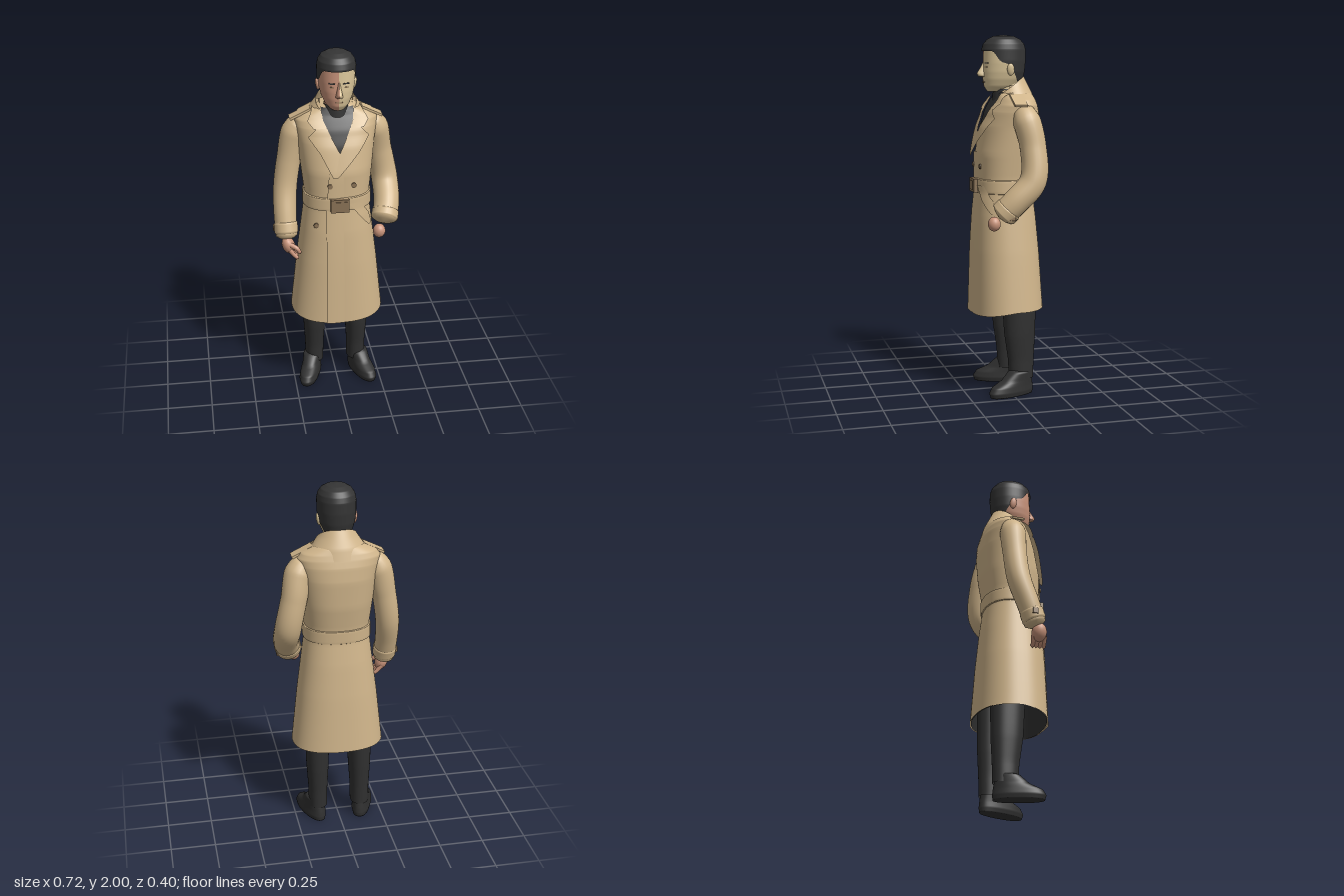
import * as THREE from 'three';
import { mergeVertices } from 'three/addons/utils/BufferGeometryUtils.js';

const mat = (name, color) => new THREE.MeshStandardMaterial({ name, color, side: THREE.DoubleSide });
const coatMat = mat('tan cloth', 0xd0b58b);
const skinLight = mat('light skin', 0xd9c498);
const skinPink = mat('pink skin', 0xc8937a);
const dark = mat('charcoal cloth', 0x303030);
const hairMat = mat('black hair', 0x343434);
const brown = mat('brown buckle', 0x8a7256);

const TAU = Math.PI * 2;
const { lerp, clamp } = THREE.MathUtils;

function grid(nu, nv, point, wrap = false) {
  const pos = [], idx = [], w = wrap ? nu : nu + 1;
  for (let j = 0; j <= nv; j++) for (let i = 0; i < w; i++) pos.push(...point(i / nu, j / nv));
  for (let j = 0; j < nv; j++) for (let i = 0; i < nu; i++) {
    const a = j * w + i, b = j * w + (i + 1) % w;
    idx.push(a, b, b + w, a, b + w, a + w);
  }
  const g = new THREE.BufferGeometry();
  g.setAttribute('position', new THREE.Float32BufferAttribute(pos, 3));
  g.setIndex(idx);
  g.computeVertexNormals();
  return g;
}

// Horizontal sections [y, halfWidth, frontZ, backZ]; edge(y, angle) trims the rim
function loft(table, { n = 2, from = 0, to = TAU, edge = y => y, k = 5, seg = 48 } = {}) {
  const full = to - from > TAU - 0.001, spans = table.length - 1;
  const at = y => {
    let i = 0;
    while (i < spans - 1 && y > table[i + 1][0]) i++;
    const [p, q] = [table[i], table[i + 1]];
    const t = q[0] === p[0] ? 0 : clamp((y - p[0]) / (q[0] - p[0]), 0, 1);
    return p.map((v, c) => lerp(v, q[c], t));
  };
  return grid(seg, spans * k, (u, v) => {
    const a = lerp(from, to, u), s = Math.sin(a), c = Math.cos(a);
    const r = Math.min(v * spans, spans - 1e-9), i = Math.floor(r);
    let row = table[i].map((q, m) => lerp(q, table[i + 1][m], r - i));
    const y = edge(row[0], a);
    if (y !== row[0]) row = at(y);
    const [, rx, f, b] = row, pw = w => Math.sign(w) * Math.abs(w) ** (2 / n);
    return [rx * pw(s), y, (f + b) / 2 + (f - b) / 2 * pw(c)];
  }, full);
}

// Tube along points, with [t, radius] pairs
function sweep(points, radii, seg = 24, steps = 50) {
  const curve = new THREE.CatmullRomCurve3(points.map(p => new THREE.Vector3(...p)));
  const g = new THREE.TubeGeometry(curve, steps, 1, seg);
  const p = g.attributes.position, v = new THREE.Vector3();
  for (let i = 0; i < p.count; i++) {
    const t = Math.floor(i / (seg + 1)) / steps;
    let k = 0;
    while (k < radii.length - 2 && t > radii[k + 1][0]) k++;
    const [a, b] = [radii[k], radii[k + 1]];
    const r = lerp(a[1], b[1], clamp((t - a[0]) / (b[0] - a[0]), 0, 1));
    const c = curve.getPointAt(t);
    v.fromBufferAttribute(p, i).sub(c).multiplyScalar(r).add(c);
    p.setXYZ(i, v.x, v.y, v.z);
  }
  g.deleteAttribute('uv');
  g.deleteAttribute('normal');
  const m = mergeVertices(g, 1e-5);
  m.computeVertexNormals();
  return m;
}

const COAT = [
  [0.45, 0.264, 0.2, -0.2], [0.8, 0.226, 0.19, -0.178], [1.0, 0.2, 0.18, -0.16],
  [1.14, 0.182, 0.166, -0.142], [1.22, 0.181, 0.165, -0.145], [1.35, 0.196, 0.166, -0.168],
  [1.5, 0.212, 0.135, -0.178], [1.58, 0.225, 0.105, -0.171], [1.62, 0.228, 0.08, -0.16],
  [1.65, 0.205, 0.06, -0.15], [1.68, 0.14, 0.05, -0.14], [1.7, 0.09, 0.04, -0.12], [1.7, 0, -0.04, -0.04]];
const COAT_N = 2.35;

// Depth of the coat's front surface
function frontZ(x, y) {
  let i = 0;
  while (i < COAT.length - 3 && y > COAT[i + 1][0]) i++;
  const [p, q] = [COAT[i], COAT[i + 1]], t = clamp((y - p[0]) / (q[0] - p[0]), 0, 1);
  const [, rx, f, b] = p.map((v, c) => lerp(v, q[c], t));
  const w = Math.max(0, 1 - Math.min(1, Math.abs(x) / rx) ** COAT_N) ** (1 / COAT_N);
  return (f + b) / 2 + (f - b) / 2 * w;
}

// Cloth lying on the coat front: rows [y, x0, x1, lift at x0, lift at x1], bottom to top
function patch(rows) {
  const n = rows.length - 1;
  return grid(10, n * 6, (u, v) => {
    const r = Math.min(v * n, n - 1e-9), i = Math.floor(r);
    const [y, x0, x1, l0, l1] = rows[i].map((q, c) => lerp(q, rows[i + 1][c], r - i));
    const x = lerp(x0, x1, u);
    return [x, y, frontZ(x, y) + lerp(l0, l1, u)];
  });
}

export function createModel() {
  const model = new THREE.Group();
  const add = (name, geo, material, pos = [0, 0, 0], rot = [0, 0, 0], scale = [1, 1, 1]) => {
    const m = new THREE.Mesh(geo, material);
    m.name = name;
    m.position.set(...pos); m.rotation.set(...rot); m.scale.set(...scale);
    model.add(m);
    return m;
  };
  const ball = new THREE.SphereGeometry(1, 20, 14);
  const hem = (y, a) => Math.max(y, 0.49 - 0.035 * Math.max(0, Math.cos(a)));

  // Coat body, lining and belt
  add('coatBody', loft(COAT, { n: COAT_N, edge: hem, seg: 64, k: 6 }), coatMat);
  add('coatLining', loft([[0.45, 0.258, 0.194, -0.194], [0.8, 0.22, 0.184, -0.172], [0.8, 0, 0, 0]],
    { n: COAT_N, edge: hem }), dark);
  add('belt', loft([[1.135, 0.18, 0.163, -0.14], [1.14, 0.189, 0.174, -0.149],
    [1.21, 0.188, 0.174, -0.152], [1.215, 0.18, 0.163, -0.142]], { n: COAT_N }), coatMat);
  add('buckle', new THREE.BoxGeometry(0.1, 0.075, 0.022), brown, [-0.003, 1.175, 0.183]);
  add('buckleFrame', new THREE.BoxGeometry(0.076, 0.05, 0.006), brown, [-0.003, 1.175, 0.195]);
  add('beltTail', patch([[1.03, 0.165, 0.185, 0.012, 0.012], [1.1, 0.11, 0.165, 0.016, 0.014],
    [1.18, 0.05, 0.115, 0.014, 0.014]]), coatMat);
  add('frontFlap', patch([[0.455, -0.08, 0.02, 0.008, 0.001], [1.14, -0.075, 0.02, 0.008, 0.001],
    [1.36, -0.06, 0.02, 0.008, 0.001]]), coatMat);

  // Sweater showing in the neck opening
  add('sweaterFront', patch([[1.46, -0.002, 0.002, 0.006, 0.006], [1.56, -0.05, 0.05, 0.006, 0.006],
    [1.64, -0.085, 0.085, 0.008, 0.008], [1.69, -0.09, 0.09, 0.004, 0.004]]), dark);
  add('sweaterNeck', loft([[1.58, 0.1, 0.08, -0.08], [1.64, 0.085, 0.075, -0.08], [1.705, 0.066, 0.068, -0.075]]), dark);
  add('collar', loft([[1.62, 0.175, 0.09, -0.163], [1.68, 0.14, 0.075, -0.146], [1.73, 0.106, 0.065, -0.122],
    [1.775, 0.083, 0.055, -0.1]], { from: 0.75, to: TAU - 0.75,
    edge: (y, a) => Math.min(y, 1.775 - 0.11 * ((1 + Math.cos(a)) / 2) ** 1.5) }), coatMat);

  // Lapels, epaulettes, legs and shoes
  for (const s of [-1, 1]) {
    const side = s > 0 ? 'left' : 'right';
    const row = (y, i, o, li, lo) => s > 0 ? [y, i, o, li, lo] : [y, -o, -i, lo, li];
    add(side + 'Lapel', patch([row(1.34, -0.03 * s, -0.028 * s + 0.012, 0.03, 0.03), row(1.47, 0, 0.105, 0.02, 0.028),
      row(1.55, 0.042, 0.165, 0.014, 0.026), row(1.6, 0.065, 0.115, 0.014, 0.022)]), coatMat);
    add(side + 'CollarFlap', patch([row(1.595, 0.062, 0.135, 0.016, 0.03), row(1.63, 0.08, 0.165, 0.014, 0.03),
      row(1.69, 0.088, 0.13, 0.016, 0.03), row(1.725, 0.088, 0.108, 0.02, 0.02)]), coatMat);
    add(side + 'Epaulette', new THREE.BoxGeometry(0.125, 0.012, 0.07), coatMat, [0.195 * s, 1.648, -0.02], [0, 0, -0.45 * s]);
    add(side + 'Leg', loft([[0.09, 0.052, 0.012, -0.125], [0.2, 0.054, 0.018, -0.128],
      [0.35, 0.063, 0.04, -0.136], [0.62, 0.07, 0.055, -0.14]], { n: 2.2 }), dark, [0.123 * s, 0, 0]);
    add(side + 'Shoe', loft([[0, 0, 0, 0], [0, 0.05, 0.155, -0.115], [0.025, 0.056, 0.163, -0.118],
      [0.055, 0.053, 0.145, -0.115], [0.085, 0.05, 0.08, -0.11], [0.13, 0.05, 0.03, -0.1], [0.15, 0, 0, -0.08]],
      { n: 2.3 }), dark, [0.147 * s, 0, -0.012], [0, 0.33 * s, 0]);
  }

  // Buttons
  for (const [x, y] of [[-0.055, 1.285], [0.075, 1.285], [-0.13, 1.05]])
    add('button', new THREE.CylinderGeometry(0.014, 0.014, 0.008, 16), brown, [x, y, frontZ(x, y) + 0.009], [Math.PI / 2, 0, 0]);

  // Right arm hanging, left arm bent to the pocket
  add('rightSleeve', sweep([[-0.165, 1.605, -0.04], [-0.215, 1.55, -0.045], [-0.252, 1.4, -0.045], [-0.28, 1.22, -0.03],
    [-0.288, 1.07, 0.02], [-0.283, 0.93, 0.07]],
    [[0, 0], [0.05, 0.06], [0.13, 0.074], [0.35, 0.067], [0.6, 0.066], [0.8, 0.063], [0.97, 0.06], [1, 0]]), coatMat);
  add('leftSleeve', sweep([[0.165, 1.605, -0.04], [0.215, 1.55, -0.055], [0.25, 1.4, -0.085], [0.285, 1.22, -0.075],
    [0.282, 1.11, 0.02], [0.25, 1.02, 0.105]],
    [[0, 0], [0.05, 0.06], [0.13, 0.076], [0.35, 0.072], [0.6, 0.074], [0.8, 0.072], [0.97, 0.07], [1, 0]]), coatMat);
  add('rightCuff', sweep([[-0.287, 1.03, 0.035], [-0.286, 1.0, 0.046], [-0.285, 0.97, 0.057]],
    [[0, 0.06], [0.1, 0.066], [0.9, 0.066], [1, 0.06]], 24, 10), coatMat);
  add('rightCuffTab', new THREE.BoxGeometry(0.016, 0.03, 0.03), brown, [-0.35, 1.0, 0.04]);
  add('leftCuff', sweep([[0.272, 1.075, 0.053], [0.266, 1.055, 0.07], [0.26, 1.038, 0.085]],
    [[0, 0.069], [0.1, 0.075], [0.9, 0.075], [1, 0.069]], 24, 10), coatMat);
  add('leftCuffTab', new THREE.BoxGeometry(0.016, 0.03, 0.03), brown, [0.325, 1.03, 0.05]);
  add('leftWrist', ball, skinPink, [0.225, 0.985, 0.125], [0, 0, 0], [0.035, 0.04, 0.035]);

  // Right hand
  add('rightPalm', ball, skinPink, [-0.278, 0.91, 0.085], [0, 0, 0.35], [0.036, 0.052, 0.042]);
  for (let i = 0; i < 4; i++) {
    const z = 0.055 + i * 0.021;
    add('rightFinger', sweep([[-0.275, 0.895, z], [-0.25, 0.862, z + 0.004], [-0.225, 0.838, z + 0.008]],
      [[0, 0.014], [0.85, 0.011], [1, 0]], 10, 14), skinPink);
  }
  add('rightThumb', sweep([[-0.27, 0.92, 0.11], [-0.235, 0.905, 0.13], [-0.215, 0.87, 0.13]],
    [[0, 0.016], [0.85, 0.011], [1, 0]], 10, 14), skinPink);

  // Face and nose, one half in each skin tone
  const head = [[1.69, 0, 0.06, 0.06], [1.692, 0.038, 0.105, -0.02], [1.72, 0.066, 0.122, -0.06],
    [1.76, 0.084, 0.128, -0.085], [1.8, 0.094, 0.129, -0.1], [1.85, 0.099, 0.126, -0.105], [1.93, 0.097, 0.122, -0.1]];
  const nose = [[1.768, 0, 0.12, 0.12], [1.774, 0.02, 0.156, 0.09], [1.79, 0.017, 0.164, 0.09],
    [1.82, 0.011, 0.145, 0.09], [1.852, 0.007, 0.127, 0.09]];
  for (const [i, m] of [skinLight, skinPink].entries()) {
    const half = { from: i * Math.PI, to: (i + 1) * Math.PI, seg: 24 }, s = i ? -1 : 1;
    add('faceHalf', loft(head, { ...half, n: 2.15 }), m);
    add('noseHalf', loft(nose, half), m);
    add('neckHalf', loft([[1.69, 0.064, 0.06, -0.075], [1.77, 0.06, 0.06, -0.085]], half), m);
    add('ear', ball, m, [0.1 * s, 1.812, -0.002], [0.1, 0, -0.15 * s], [0.011, 0.034, 0.02]);
    add('eyebrow', new THREE.BoxGeometry(0.036, 0.006, 0.008), hairMat, [0.038 * s, 1.846, 0.118], [0, 0.25 * s, 0]);
    add('eye', new THREE.BoxGeometry(0.022, 0.006, 0.006), brown, [0.037 * s, 1.826, 0.12], [0, 0.25 * s, 0]);
  }
  add('mouth', new THREE.BoxGeometry(0.04, 0.005, 0.006), brown, [0, 1.743, 0.125]);

  // Hair with a hairline low at the nape and high over the brow
  const hairline = a => {
    const c = Math.cos(a);
    return c > 0.35 ? lerp(1.855, 1.912, clamp((c - 0.35) / 0.3, 0, 1))
      : c > -0.1 ? lerp(1.838, 1.855, (c + 0.1) / 0.45)
      : lerp(1.838, 1.74, clamp((-0.1 - c) / 0.45, 0, 1));
  };
  add('hair', loft([[1.74, 0.08, 0.1, -0.092], [1.8, 0.1, 0.13, -0.105], [1.86, 0.105, 0.132, -0.111],
    [1.92, 0.105, 0.134, -0.111], [1.95, 0.099, 0.125, -0.102], [1.975, 0.082, 0.103, -0.08],
    [1.992, 0.053, 0.07, -0.045], [2, 0, 0.012, 0.012]], { n: 2.1, edge: (y, a) => Math.max(y, hairline(a)), k: 8 }), hairMat);

  return model;
}
